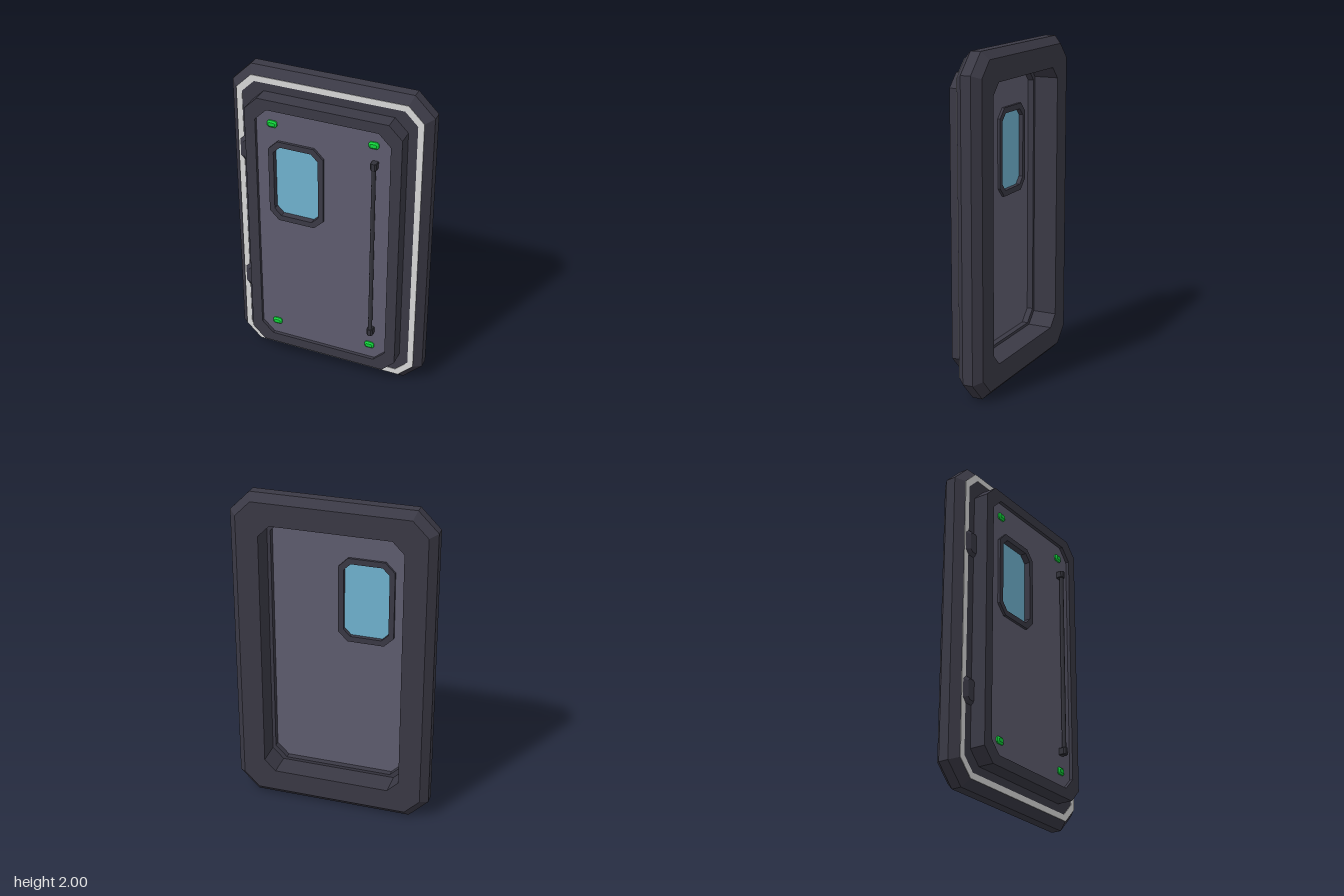
import * as THREE from 'three';

const mat = (name, color, double) => {
  const m = new THREE.MeshStandardMaterial({ color });
  m.name = name;
  if (double) m.side = THREE.DoubleSide;
  return m;
};

// Rectangle with cut corners, counter-clockwise seen from the front
function octagon([w, h, c, z]) {
  return [
    [w, -h + c], [w, h - c], [w - c, h], [-w + c, h],
    [-w, h - c], [-w, -h + c], [-w + c, -h], [w - c, -h],
  ].map(([x, y]) => [x, y, z]);
}

// Joins levels [halfWidth, halfHeight, cornerCut, z]: a ring if closed, otherwise a capped solid
function loft(levels, closed) {
  const rings = levels.map(octagon);
  const out = [];
  const tri = (a, b, c) => out.push(...a, ...b, ...c);
  const spans = closed ? rings.length : rings.length - 1;
  for (let k = 0; k < spans; k++) {
    const a = rings[k], b = rings[(k + 1) % rings.length];
    for (let i = 0; i < 8; i++) {
      const j = (i + 1) % 8;
      tri(a[i], a[j], b[j]);
      tri(a[i], b[j], b[i]);
    }
  }
  if (!closed) {
    const back = rings[0], front = rings[rings.length - 1];
    for (let i = 1; i < 7; i++) {
      tri(front[0], front[i], front[i + 1]);
      tri(back[0], back[i + 1], back[i]);
    }
  }
  const g = new THREE.BufferGeometry();
  g.setAttribute('position', new THREE.Float32BufferAttribute(out, 3));
  g.computeVertexNormals();
  return g;
}

export function createModel() {
  const model = new THREE.Group();
  model.name = 'door';
  const dark = mat('darkFrame', 0x3a3945);
  const stripeMat = mat('paleStripe', 0xd8d8d8);
  const panelMat = mat('greyPanel', 0x5e5c6e);
  const glassMat = mat('blueGlass', 0x70b2cf);
  const greenMat = mat('greenLamp', 0x10d63a);
  const handleMat = mat('handleDark', 0x33333b);

  const add = (name, geometry, material, x = 0, y = 1, z = 0) => {
    const mesh = new THREE.Mesh(geometry, material);
    mesh.name = name;
    mesh.position.set(x, y, z);
    model.add(mesh);
    return mesh;
  };

  // Outer frame with bevelled rim
  add('outerFrame', loft([
    [0.565, 0.955, 0.094, -0.135], [0.61, 1, 0.12, -0.09],
    [0.61, 1, 0.12, -0.028], [0.565, 0.955, 0.094, 0.018],
    [0.43, 0.82, 0.07, 0.018], [0.43, 0.82, 0.07, -0.135],
  ], true), dark);

  // Pale stripe round the front face
  add('stripe', loft([
    [0.565, 0.955, 0.094, 0.016], [0.565, 0.955, 0.094, 0.021],
    [0.53, 0.918, 0.078, 0.021], [0.53, 0.918, 0.078, 0.016],
  ], true), stripeMat);

  // Raised door rim
  add('doorRim', loft([
    [0.475, 0.867, 0.08, 0.015], [0.475, 0.867, 0.08, 0.113],
    [0.41, 0.803, 0.073, 0.113], [0.41, 0.803, 0.073, 0.015],
  ], true), dark);

  // Door panel, built as a ring round the window opening
  const shape = new THREE.Shape(octagon([0.412, 0.805, 0.073, 0]).map(([x, y]) => new THREE.Vector2(x, y)));
  const wx = -0.165, wy = 1.34;
  shape.holes.push(new THREE.Path(octagon([0.15, 0.25, 0.045, 0])
    .map(([x, y]) => new THREE.Vector2(x + wx, y + wy - 1)).reverse()));
  add('doorPanel', new THREE.ExtrudeGeometry(shape, { depth: 0.04, bevelEnabled: false }), panelMat, 0, 1, 0.052);

  // Window frame and glass
  add('windowFrame', loft([
    [0.17, 0.268, 0.058, 0.036], [0.17, 0.268, 0.058, 0.108],
    [0.138, 0.233, 0.042, 0.108], [0.138, 0.233, 0.042, 0.036],
  ], true), dark, wx, wy);
  add('windowGlass', loft([
    [0.14, 0.235, 0.042, 0.062], [0.14, 0.235, 0.042, 0.07],
  ]), glassMat, wx, wy);

  // Corner lamps
  for (const x of [-0.31, 0.305]) {
    for (const y of [0.293, 1.713]) {
      add('lamp', loft([
        [0.03, 0.021, 0.01, 0.085], [0.03, 0.021, 0.01, 0.1], [0.019, 0.011, 0.005, 0.108],
      ]), greenMat, x, y);
    }
  }

  // Long vertical handle with end brackets
  const hx = 0.315;
  add('handleBar', new THREE.CylinderGeometry(0.013, 0.013, 1.18, 8).toNonIndexed(), handleMat, hx, 1.005, 0.117);
  for (const y of [0.415, 1.592]) {
    add('handleBracket', loft([
      [0.019, 0.022, 0.003, 0.085], [0.019, 0.022, 0.003, 0.125], [0.01, 0.022, 0.003, 0.135],
    ]), handleMat, hx, y);
  }

  // Hinges on the right-hand side
  for (const y of [0.543, 1.465]) {
    add('hinge', loft([
      [0.06, 0.08, 0.025, 0.01], [0.06, 0.08, 0.025, 0.018], [0.03, 0.062, 0.015, 0.038],
    ]), dark, -0.498, y);
  }
  return model;
}
